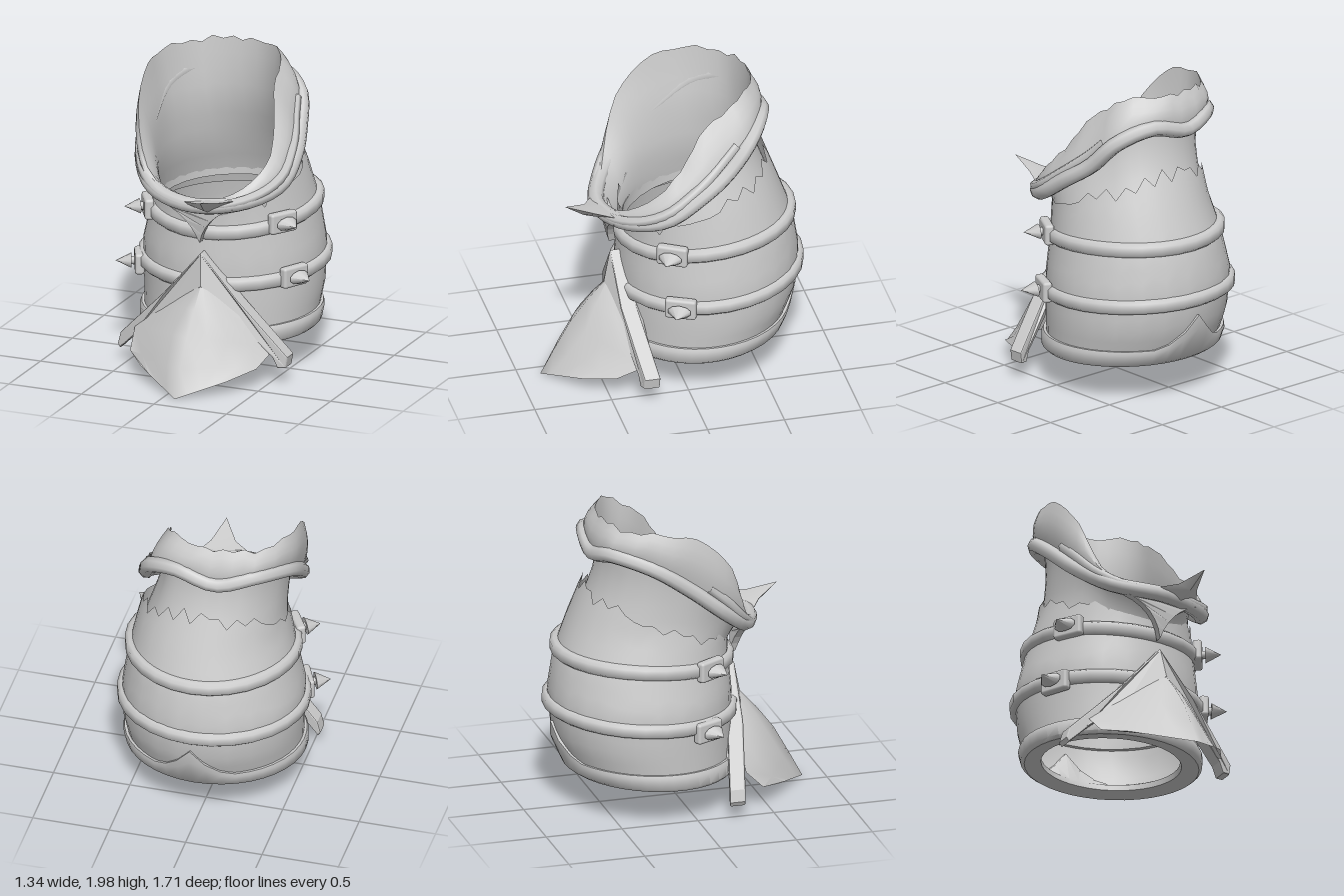
import * as THREE from 'three';
import { toCreasedNormals } from 'three/addons/utils/BufferGeometryUtils.js';
import { RoundedBoxGeometry } from 'three/addons/geometries/RoundedBoxGeometry.js';

const TAU = Math.PI * 2;
const V = (x, y, z) => new THREE.Vector3(x, y, z);
const mat = new THREE.MeshStandardMaterial({ color: 0xcccccc, side: THREE.DoubleSide });

// Grid surface from a rule f(u, v) -> Vector3; may close around u and/or v
function loft(f, nu, nv, closeU = true, closeV = false, crease = 0.7) {
  const pos = [], idx = [];
  const cu = closeU ? nu : nu + 1, cv = closeV ? nv : nv + 1;
  for (let j = 0; j < cv; j++)
    for (let i = 0; i < cu; i++) pos.push(...f(i / nu, j / nv).toArray());
  for (let j = 0; j < nv; j++)
    for (let i = 0; i < nu; i++) {
      const i1 = (i + 1) % cu, j1 = (j + 1) % cv;
      const a = j * cu + i, b = j * cu + i1, c = j1 * cu + i1, d = j1 * cu + i;
      idx.push(a, b, c, a, c, d);
    }
  const g = new THREE.BufferGeometry();
  g.setAttribute('position', new THREE.Float32BufferAttribute(pos, 3));
  g.setIndex(idx);
  return toCreasedNormals(g, crease);
}

// Body outline by height: y, centre x, half width, front z, back z
const SECTIONS = [
  [0.25, 0.02, 0.55, 0.35, -0.68], [0.5, 0.025, 0.575, 0.35, -0.79],
  [0.75, 0.02, 0.58, 0.35, -0.82], [1.0, 0.03, 0.53, 0.33, -0.78],
  [1.25, 0.035, 0.475, 0.34, -0.69], [1.6, 0.0, 0.41, 0.3, -0.56], [2.0, -0.06, 0.39, 0.25, -0.5],
];
function body(a, y, off = 0) {
  let k = 0;
  while (k < SECTIONS.length - 2 && y > SECTIONS[k + 1][0]) k++;
  const p = SECTIONS[k], q = SECTIONS[k + 1];
  const t = THREE.MathUtils.clamp((y - p[0]) / (q[0] - p[0]), 0, 1);
  const [, cx, rx, zf, zb] = p.map((n, i) => n + (q[i] - n) * t);
  return V(cx + (rx + off) * Math.sin(a), y, (zf + zb) / 2 + ((zf - zb) / 2 + off) * Math.cos(a));
}

// Seeded zigzag for torn edges
const hash = n => { const s = Math.sin(n * 127.1 + 3.7) * 43758.5; return s - Math.floor(s); };
const jag = i => (hash(i) - 0.5) + (i % 2 ? 0.25 : -0.25);

// Closed band around the body from a profile of [outward offset, height offset]
function band(yFn, profile) {
  return loft((u, v) => {
    const [o, dy] = profile[Math.round(v * profile.length) % profile.length];
    const a = u * TAU, p = body(a, yFn(a), o);
    p.y += dy;
    return p;
  }, 28, profile.length, true, true, 0.95);
}

// Rim of the torn collar and the path of its rolled edge, from the front towards +x
const curve = pts => new THREE.CatmullRomCurve3(pts.map(p => V(...p)), true);
const TOP = curve([
  [0.05, 1.2, 0.45], [0.3, 1.27, 0.36], [0.42, 1.42, 0.18], [0.39, 1.6, 0], [0.32, 1.82, -0.16],
  [0.28, 1.95, -0.36], [0.1, 1.98, -0.5], [-0.1, 1.97, -0.52], [-0.32, 1.96, -0.44],
  [-0.46, 1.94, -0.22], [-0.48, 1.9, 0.02], [-0.44, 1.67, 0.24], [-0.3, 1.31, 0.36]]);
const ROLL = curve([
  [0.05, 1.18, 0.48], [0.34, 1.2, 0.35], [0.49, 1.27, 0.14], [0.5, 1.41, -0.08], [0.45, 1.54, -0.27],
  [0.38, 1.71, -0.43], [0.18, 1.8, -0.55], [-0.08, 1.74, -0.57], [-0.31, 1.79, -0.5],
  [-0.46, 1.72, -0.27], [-0.47, 1.55, -0.02], [-0.43, 1.37, 0.2], [-0.28, 1.23, 0.37]]);
const N = 46;
function tornTop(u) {
  const p = TOP.getPoint(u % 1);
  p.y += 0.028 * jag(Math.round(u * N) % N) * THREE.MathUtils.smoothstep(p.y, 1.3, 1.7);
  p.y = Math.min(p.y, 2);
  return p;
}
const push = (p, u, d) => {
  p.x += d * Math.sin(u * TAU);
  p.z += d * Math.cos(u * TAU);
  return p;
};

export function createModel() {
  const model = new THREE.Group();
  const add = (name, geo, parent = model) => {
    const m = new THREE.Mesh(geo, mat);
    m.name = name;
    parent.add(m);
    return m;
  };

  // Outer shell with torn upper edge
  add('outerShell', loft((u, v) => {
    const a = u * TAU, c = (1 - Math.cos(a)) / 2;
    const top = 1.14 + 0.34 * c ** 1.3 + 0.07 * jag(Math.round(u * N) % N + 100);
    return body(a, 0.27 + (top - 0.27) * v);
  }, N, 14));

  // Lining rising out of the shell to the torn collar
  add('lining', loft((u, v) => {
    const t = tornTop(u);
    const y = 0.95 + (t.y - 0.95) * v;
    return body(u * TAU, y, -0.03).lerp(t, v * v).setY(y);
  }, N, 10));

  // Collar turned outward, its rolled edge and a fold along the front
  add('collar', loft((u, v) =>
    push(ROLL.getPoint(u % 1).lerp(tornTop(u), v), u, 0.03 * Math.sin(Math.PI * v)), N, 5));
  add('rolledEdge', new THREE.TubeGeometry(ROLL, 52, 0.052, 8, true));
  const fold = new THREE.CatmullRomCurve3(Array.from({ length: 13 }, (_, i) => {
    const u = (i / 12 * 0.55 + 0.8) % 1;
    return push(ROLL.getPoint(u).lerp(TOP.getPoint(u), 0.25), u, 0.025 * Math.sin(Math.PI * i / 12));
  }));
  add('collarFold', new THREE.TubeGeometry(fold, 36, 0.035, 6));

  // Pointed lip at the front of the collar
  const lip = [
    [V(-0.06, 1.2, 0.48), V(0.15, 1.15, 0.49), V(0.33, 1.22, 0.38), V(0.12, 1.22, 0.44)],
    [V(0.1, 1.23, 0.58), V(0.17, 1.195, 0.6), V(0.25, 1.24, 0.54), V(0.16, 1.24, 0.56)],
    [V(0.2, 1.29, 0.73), V(0.2, 1.29, 0.73), V(0.2, 1.29, 0.73), V(0.2, 1.29, 0.73)]];
  add('collarLip', loft((u, v) => lip[Math.round(v * 2)][Math.round(u * 4) % 4].clone(), 4, 2, true, false, 1.2));

  // Hanging point below the lip
  const tongue = new THREE.Shape();
  tongue.moveTo(-0.2, 1.16);
  tongue.quadraticCurveTo(0, 1.1, 0.055, 0.91);
  tongue.quadraticCurveTo(0.11, 1.1, 0.3, 1.17);
  const tongueGeo = new THREE.ExtrudeGeometry(tongue, { depth: 0.045, bevelEnabled: false, curveSegments: 6 });
  const tp = tongueGeo.attributes.position;
  for (let i = 0; i < tp.count; i++)
    tp.setZ(i, tp.getZ(i) + 0.365 + 0.3 * (tp.getY(i) - 0.91) - 0.2 * Math.abs(tp.getX(i) - 0.05));
  tongueGeo.computeVertexNormals();
  add('hangingPoint', tongueGeo);

  // Belts, each with a buckle plate and a spike on both sides
  const strap = [[-0.03, -0.045], [0.015, -0.045], [0.036, -0.028], [0.036, 0.028], [0.015, 0.045], [-0.03, 0.045]];
  const belts = [
    { name: 'upperBelt', y: a => 1.05 - 0.09 * ((1 + Math.cos(a)) / 2) ** 2, side: [1.015, 1.0], angle: 0.98 },
    { name: 'lowerBelt', y: a => 0.66 - 0.035 * Math.cos(a), side: [0.655, 0.615], angle: 1.07 }];
  for (const b of belts) {
    const g = new THREE.Group();
    g.name = b.name;
    model.add(g);
    add('strap', band(b.y, strap), g);
    [1, -1].forEach((s, k) => {
      const stud = new THREE.Group();
      stud.name = s > 0 ? 'leftStud' : 'rightStud';
      stud.position.copy(body(s * b.angle, b.side[k], 0.03));
      stud.rotation.y = s * (b.angle + 0.06);
      g.add(stud);
      add('bucklePlate', new RoundedBoxGeometry(0.2, 0.135, 0.06, 2, 0.018), stud);
      const neck = add('spikeNeck', new THREE.CylinderGeometry(0.025, 0.03, 0.05, 8), stud);
      neck.rotation.x = Math.PI / 2;
      neck.position.z = 0.04;
      const cone = add('spike', new THREE.ConeGeometry(0.045, 0.1, 10), stud);
      cone.rotation.x = Math.PI / 2;
      cone.position.z = 0.1;
      cone.scale.x = 1.7;
    });
  }

  // Bottom band: flat underside tilted to the front, pointed rise at the back
  const hem = [[-0.11, 0.04, 0], [-0.1, 0, 0], [0.01, -0.02, 0], [0.03, 0, 0], [0.03, 0.07, 0.7], [0.018, 0.095, 1], [-0.03, 0.09, 1]];
  add('bottomBand', loft((u, v) => {
    const [o, dy, k] = hem[Math.round(v * hem.length) % hem.length];
    const a = u * TAU, d = Math.abs(a - Math.PI);
    const rise = 0.21 * k * Math.max(0, 1 - d / 0.45) ** 1.6;
    const y = 0.26 - 0.02 * Math.cos(a) + dy + rise;
    return body(a, y, o).setY(y);
  }, 40, hem.length, true, true, 0.8));

  // Chevron trim, bent back along the body
  const chev = new THREE.Shape([
    [0.06, 0.83], [0.3, 0.55], [0.61, 0.19], [0.6, 0.13], [0.56, 0.125], [0.53, 0.19], [0.3, 0.42], [0.08, 0.635],
    [-0.15, 0.46], [-0.43, 0.22], [-0.54, 0.11], [-0.55, 0.13], [-0.53, 0.2], [-0.2, 0.53]].map(p => new THREE.Vector2(...p)));
  const chevGeo = new THREE.ExtrudeGeometry(chev, { depth: 0.08, bevelEnabled: true, bevelSize: 0.008, bevelThickness: 0.012, bevelSegments: 2 });
  const cp = chevGeo.attributes.position;
  for (let i = 0; i < cp.count; i++)
    cp.setZ(i, cp.getZ(i) + 0.36 - 0.25 * Math.abs(cp.getX(i) - 0.06) - 0.25 * Math.max(0, cp.getY(i) - 0.64));
  chevGeo.computeVertexNormals();
  add('chevronTrim', chevGeo);

  // Toe plate: rows of left edge, ridge, right edge
  const rows = [
    [V(0.06, 0.65, 0.41), V(0.08, 0.66, 0.42), V(0.1, 0.65, 0.41)],
    [V(-0.2, 0.45, 0.36), V(0.08, 0.51, 0.555), V(0.34, 0.44, 0.35)],
    [V(-0.42, 0.27, 0.34), V(0.08, 0.36, 0.67), V(0.52, 0.23, 0.29)],
    [V(-0.4, 0.15, 0.46), V(0.08, 0.18, 0.77), V(0.47, 0.14, 0.46)],
    [V(-0.27, 0.11, 0.6), V(0.08, 0.01, 0.86), V(0.35, 0.1, 0.66)]];
  add('toePlate', loft((u, v) => {
    const r = rows[Math.round(v * 4)], left = u < 0.5, t = left ? u * 2 : u * 2 - 1;
    const p = (left ? r[0] : r[1]).clone().lerp(left ? r[1] : r[2], t);
    const bulge = Math.sin(Math.PI * t) * Math.sin(Math.PI * v);
    p.z += 0.03 * bulge;
    p.y += 0.02 * bulge;
    return p;
  }, 8, 4, false, false, 1.3));

  return model;
}
